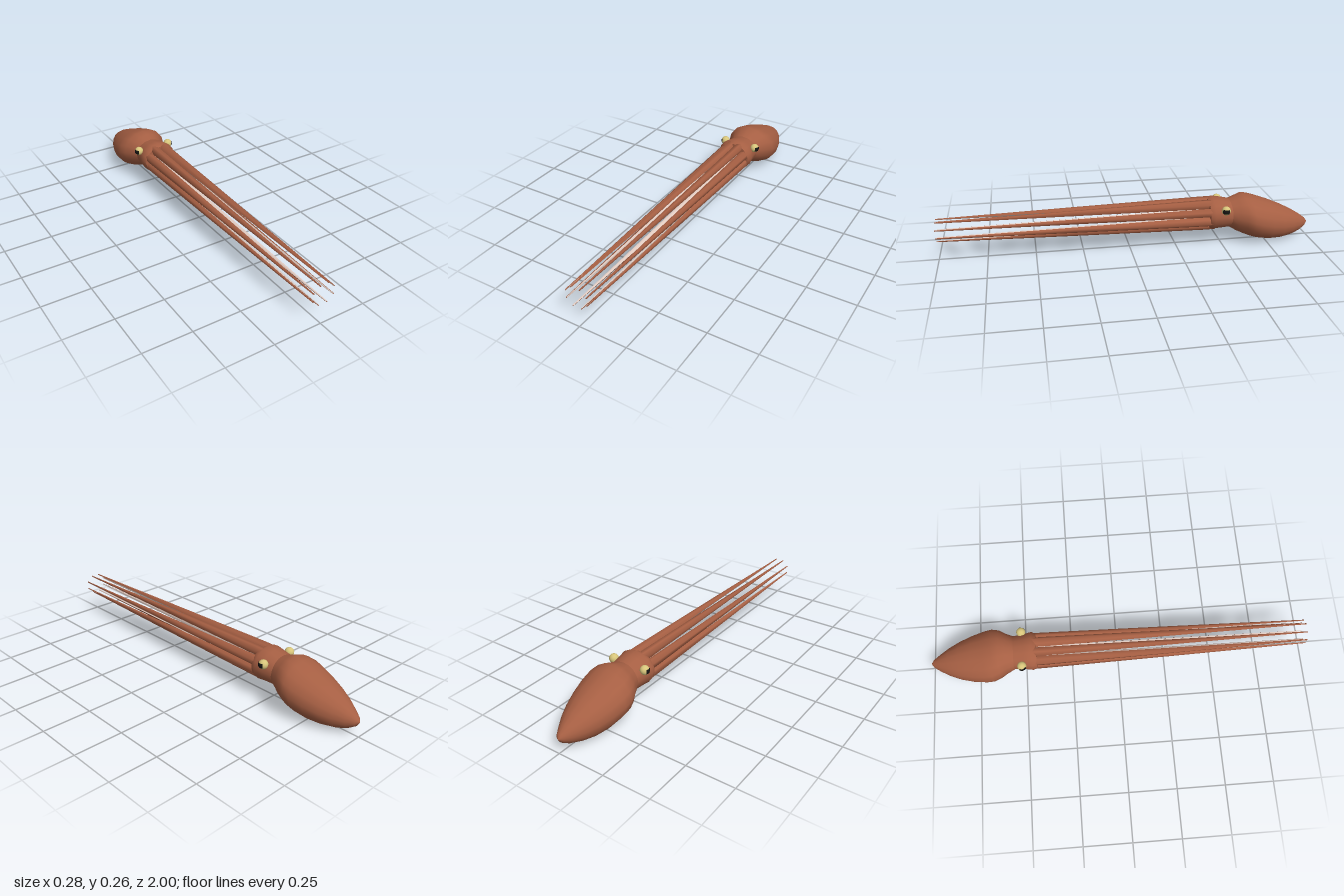
import * as THREE from 'three';

const skin = new THREE.MeshStandardMaterial({ color: 0xa65f43 });
skin.name = 'skin';
const pale = new THREE.MeshStandardMaterial({ color: 0xe3cdc3 });
pale.name = 'paleUnderside';
const eyeYellow = new THREE.MeshStandardMaterial({ color: 0xd8c67c });
eyeYellow.name = 'eyeYellow';
const black = new THREE.MeshStandardMaterial({ color: 0x151412 });
black.name = 'pupilBlack';

// Skin over elliptical sections [z, cx, cy, rx, ry] ordered back to front.
// Only the faces from..to around the section are built.
function loft(sections, sides, start = 0, from = 0, to = sides) {
  const pos = [], index = [];
  for (const [z, cx, cy, rx, ry] of sections) {
    for (let j = 0; j < sides; j++) {
      const a = start + (j / sides) * Math.PI * 2;
      pos.push(cx + Math.cos(a) * rx, cy + Math.sin(a) * ry, z);
    }
  }
  for (let i = 0; i < sections.length - 1; i++) {
    for (let j = from; j < to; j++) {
      const a = i * sides + (j % sides), b = i * sides + ((j + 1) % sides);
      index.push(a, b, b + sides, a, b + sides, a + sides);
    }
  }
  const geo = new THREE.BufferGeometry();
  geo.setAttribute('position', new THREE.Float32BufferAttribute(pos, 3));
  geo.setIndex(index);
  geo.computeVertexNormals();
  return geo;
}

function add(parent, name, geo, material) {
  const mesh = new THREE.Mesh(geo, material);
  mesh.name = name;
  parent.add(mesh);
  return mesh;
}

export function createModel() {
  const model = new THREE.Group();
  model.name = 'octopus';

  // Drooping mantle: [z, bottom y, top y, half width]
  const mantle = [
    [-1, 0.079, 0.081, 0.001], [-0.985, 0.056, 0.102, 0.022], [-0.95, 0.032, 0.128, 0.046],
    [-0.9, 0.014, 0.16, 0.076], [-0.84, 0.004, 0.19, 0.103], [-0.77, 0.004, 0.22, 0.125],
    [-0.7, 0.017, 0.245, 0.139], [-0.66, 0.03, 0.258, 0.141], [-0.62, 0.046, 0.267, 0.128],
    [-0.585, 0.062, 0.256, 0.106], [-0.54, 0.088, 0.24, 0.085],
  ].map(([z, lo, hi, w]) => [z, 0, (lo + hi) / 2, w, (hi - lo) / 2]);
  add(model, 'mantle', loft(mantle, 16, Math.PI / 2), skin);

  // Head flaring out to the ring of arms
  const head = [
    [-0.58, 0, 0.163, 0.085, 0.07], [-0.54, 0, 0.165, 0.089, 0.077],
    [-0.49, 0, 0.169, 0.094, 0.084], [-0.45, 0, 0.171, 0.102, 0.088],
    [-0.425, 0, 0.168, 0.092, 0.079],
  ];
  add(model, 'head', loft(head, 16, Math.PI / 2), skin);
  add(model, 'headFront', loft([[-0.425, 0, 0.168, 0.092, 0.079], [-0.424, 0, 0.168, 0.05, 0.05]], 16, Math.PI / 2), skin);
  const mouth = add(model, 'mouthDisc', new THREE.CircleGeometry(0.052, 16), pale);
  mouth.position.set(0, 0.168, -0.423);

  // Eight straight tapering arms with pale inner faces
  for (let k = 0; k < 8; k++) {
    const a = ((k + 0.5) / 8) * Math.PI * 2;
    const arm = new THREE.Group();
    arm.name = 'arm' + (k + 1);
    const at = (z, ring, r) => [z, Math.cos(a) * ring, 0.168 + Math.sin(a) * ring * 0.93, r, r];
    const sections = [at(-0.46, 0.069, 0.025), at(-0.4, 0.069, 0.0255), at(0.3, 0.065, 0.0145), at(1, 0.06, 0.003)];
    add(arm, 'armSkin', loft(sections, 6, a + Math.PI, 1, 5), skin);
    add(arm, 'armUnderside', loft(sections, 6, a + Math.PI, 5, 7), pale);
    const tip = add(arm, 'armTip', new THREE.CircleGeometry(0.003, 6), skin);
    tip.position.set(sections[3][1], sections[3][2], 1);
    model.add(arm);
  }

  // Eyes with wide pupils turned slightly forward
  for (const side of [1, -1]) {
    const eye = new THREE.Group();
    eye.name = side > 0 ? 'leftEye' : 'rightEye';
    eye.position.set(side * 0.094, 0.212, -0.503);
    add(eye, 'eyeball', new THREE.SphereGeometry(0.024, 16, 12), eyeYellow);
    const middle = side > 0 ? Math.PI - 0.25 : 0.25;
    add(eye, 'pupil', new THREE.SphereGeometry(0.0248, 10, 6, middle - 0.8, 1.6, Math.PI / 2 - 0.5, 1.0), black);
    model.add(eye);
  }
  return model;
}
